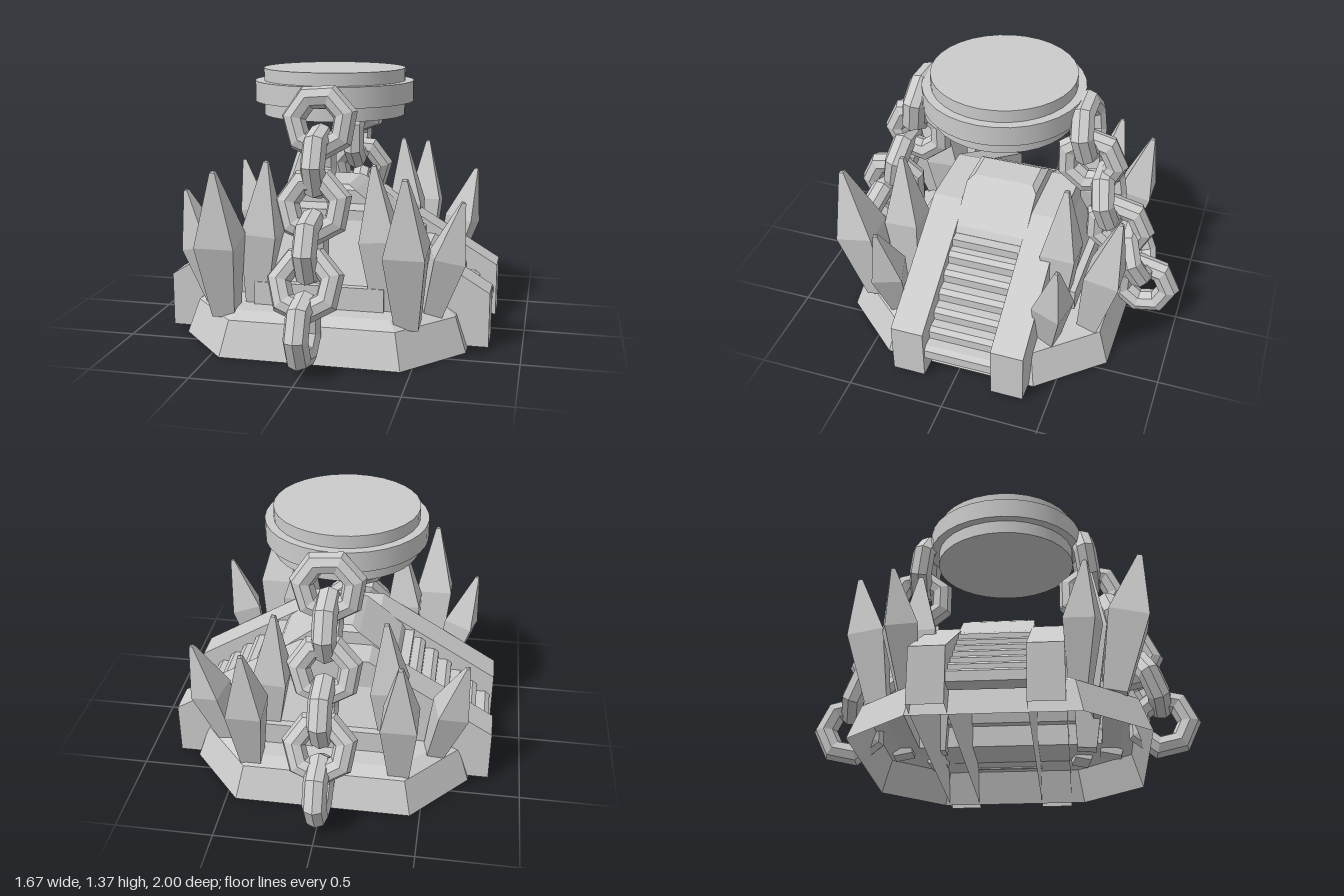
import * as THREE from 'three';
import { ConvexGeometry } from 'three/addons/geometries/ConvexGeometry.js';

export function createModel() {
  const root = new THREE.Group();
  root.name = 'chainedShrine';
  const flat = new THREE.MeshStandardMaterial({ color: 0xcccccc, flatShading: true, side: THREE.DoubleSide });
  const smooth = new THREE.MeshStandardMaterial({ color: 0xcccccc });

  function add(name, geometry, x = 0, y = 0, z = 0, material = flat, parent = root) {
    const mesh = new THREE.Mesh(geometry, material);
    mesh.name = name;
    mesh.position.set(x, y, z);
    parent.add(mesh);
    return mesh;
  }
  const vectors = pts => pts.map(p => new THREE.Vector2(...p));

  // Open shell through stacked loops (or open lines) of equal length
  function loft(loops, closed = true) {
    const n = loops[0].length, index = [];
    for (let r = 0; r < loops.length - 1; r++) for (let i = 0; i < (closed ? n : n - 1); i++) {
      const a = r * n + i, b = r * n + (i + 1) % n;
      index.push(a, b, b + n, a, b + n, a + n);
    }
    const geo = new THREE.BufferGeometry();
    geo.setAttribute('position', new THREE.Float32BufferAttribute(loops.flat(2), 3));
    geo.setIndex(index);
    const shell = geo.toNonIndexed();
    shell.computeVertexNormals();
    return shell;
  }

  // Hollow eight-sided plinth with sloping sides and a bevelled rim
  const corners = [[-0.45, 0.72], [0.45, 0.72], [0.73, 0.4], [0.73, -0.4],
    [0.45, -0.72], [-0.45, -0.72], [-0.73, -0.4], [-0.73, 0.4]];
  const rings = [[0, 1], [0.175, 0.92], [0.213, 0.84]];
  add('plinth', loft(rings.map(([y, s]) => corners.map(([x, z]) => [x * s, y, z * s]))));
  const top = new THREE.Shape(vectors(corners.map(([x, z]) => [x * 0.84, -z * 0.84])));
  top.holes.push(new THREE.Path(vectors([[-0.33, -0.5], [0.33, -0.5], [0.33, 0.5], [-0.33, 0.5]])));
  add('plinthTop', new THREE.ShapeGeometry(top).rotateX(-Math.PI / 2), 0, 0.213, 0);

  // Hollow core under the landing
  const coreRings = [[0.213, 0.33, 0.5], [0.33, 0.33, 0.5], [0.33, 0.28, 0.46], [0.63, 0.2, 0.33]];
  add('core', loft(coreRings.map(([y, x, z]) => [[-x, y, z], [x, y, z], [x, y, -z], [-x, y, -z]])));

  // Sloping stair walls, running across the whole model and open underneath
  const outline = [[0.835, 0.01], [0.835, 0.29], [0.19, 0.68], [-0.19, 0.68], [-0.835, 0.29], [-0.835, 0.01]];
  const wallSide = new THREE.ShapeGeometry(new THREE.Shape(vectors(outline)));
  const wallTop = loft([0.17, 0].map(z => outline.map(([x, y]) => [x, y, z])), false);
  for (const [name, z] of [['frontStairWall', 0.155], ['backStairWall', -0.375]]) {
    const wall = new THREE.Group();
    wall.name = name;
    wall.position.z = z;
    root.add(wall);
    add('wallTop', wallTop, 0, 0, 0, flat, wall);
    add('wallSide', wallSide, 0, 0, 0.17, flat, wall);
    add('wallSide', wallSide, 0, 0, 0, flat, wall);
  }

  // Two flights of slab steps with chamfered lips, let into the walls
  const stairZ = -0.025, stairW = 0.38;
  const stepShape = new THREE.Shape(vectors([[-0.05, -0.035], [0.05, -0.035], [0.05, 0.015], [0.025, 0.035], [-0.05, 0.035]]));
  const stepGeo = new THREE.ExtrudeGeometry(stepShape, { depth: stairW, bevelEnabled: false });
  stepGeo.translate(0, 0, -stairW / 2);
  for (const s of [1, -1]) {
    for (let i = 0; i < 6; i++) {
      const step = add('step', stepGeo, s * (0.77 - i * 0.075), 0.155 + i * 0.065, stairZ);
      step.rotation.y = s > 0 ? 0 : Math.PI;
    }
  }
  add('landing', new THREE.BoxGeometry(0.76, 0.06, stairW), 0, 0.53, stairZ);

  // Roof-shaped capstone with chamfered ends
  const cap = [];
  for (const sx of [-1, 1]) for (const sz of [-1, 1]) {
    for (const [x, y, w] of [[0.31, 0.545, 0.16], [0.33, 0.565, 0.19], [0.31, 0.6, 0.19], [0.12, 0.75, 0.19], [0.08, 0.775, 0.16]]) {
      cap.push(new THREE.Vector3(x * sx, y, stairZ + w * sz));
    }
  }
  add('capstone', new ConvexGeometry(cap));

  // Raised disc with a wider band
  add('disc', new THREE.CylinderGeometry(0.37, 0.37, 0.24, 32), -0.025, 1.25, 0.005, smooth);
  add('discBand', new THREE.CylinderGeometry(0.415, 0.415, 0.105, 32), -0.025, 1.253, 0.005, smooth);

  // Chains of seven-sided links: height, distance from centre, lean, turned sideways
  const links = [
    [1.14, 0.445, 0.15, false], [0.945, 0.47, 0, true], [0.75, 0.575, 0.22, false],
    [0.56, 0.64, 0, true], [0.41, 0.75, 0.42, false], [0.2, 0.807, 0, true]];
  const linkGeo = new THREE.TorusGeometry(0.132, 0.061, 8, 7);
  for (const s of [1, -1]) {
    const chain = new THREE.Group();
    chain.name = s > 0 ? 'frontChain' : 'backChain';
    chain.rotation.y = s > 0 ? 0 : Math.PI;
    root.add(chain);
    for (const [y, z, lean, sideways] of links) {
      const link = add('chainLink', linkGeo, 0, y, z, flat, chain);
      if (sideways) link.rotation.y = -Math.PI / 2;
      else link.rotation.set(-lean, 0, 0.3);
    }
  }

  // Leaning four-sided crystals: base x, z; tip x, y, z; half width; twist
  const crystals = [
    [0.46, 0.55, 0.46, 0.93, 0.71, 0.1, 0],
    [0.55, 0.39, 0.705, 0.775, 0.43, 0.078, 0.25],
    [0.33, 0.42, 0.27, 0.945, 0.46, 0.09, 0],
    [0.38, -0.59, 0.38, 0.89, -0.72, 0.09, 0],
    [0.54, -0.42, 0.69, 0.775, -0.49, 0.078, -0.25],
    [0.33, -0.4, 0.28, 0.945, -0.42, 0.09, 0]];
  const up = new THREE.Vector3(0, 1, 0);
  for (const side of [-1, 1]) {
    for (const [bx, bz, tx, ty, tz, hw, twist] of crystals) {
      const axis = new THREE.Vector3(side * (tx - bx), ty - 0.18, tz - bz);
      const h = axis.length(), r = hw * Math.SQRT2;
      const profile = [[0, 0], [0.58 * r, 0], [r, h * 0.52], [0.13 * r, h * 0.99], [0, h]];
      const geo = new THREE.LatheGeometry(vectors(profile), 4, Math.PI / 4);
      geo.rotateY(side * twist);
      const crystal = add('crystal', geo, side * bx, 0.18, bz);
      crystal.quaternion.setFromUnitVectors(up, axis.normalize());
    }
  }
  return root;
}
